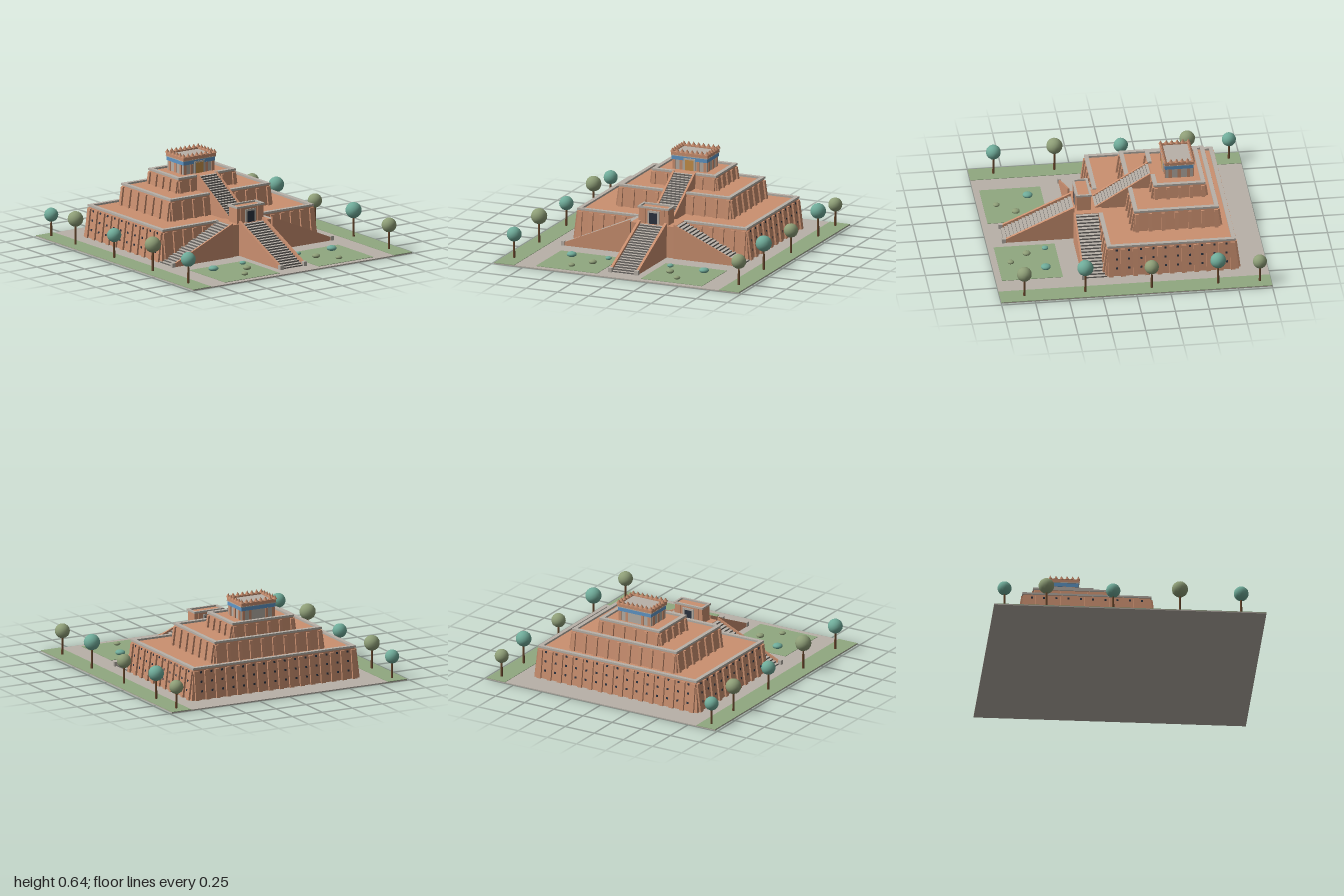
import * as THREE from 'three';

const mat = (name, color) => {
  const m = new THREE.MeshStandardMaterial({ color });
  m.name = name;
  return m;
};

export function createModel() {
  const root = new THREE.Group();
  root.name = 'steppedTemple';
  const brick = mat('brick', 0xcb9070), stone = mat('stone', 0xb8b1a8), lawn = mat('lawn', 0x90a880);
  const teal = mat('tealLeaves', 0x70ac9a), olive = mat('oliveLeaves', 0x8f9f78), bark = mat('bark', 0x6b4a2f);
  const blue = mat('blueGlaze', 0x5f97c8), ochre = mat('ochreDoor', 0xc8924a);
  const dark = mat('darkOpening', 0x2c3340), riser = mat('stairRiser', 0x706c68);

  const add = (parent, name, geo, material, x = 0, y = 0, z = 0) => {
    const m = new THREE.Mesh(geo, material);
    m.name = name;
    m.position.set(x, y, z);
    parent.add(m);
    return m;
  };
  const group = (name, parent = root) => {
    const g = new THREE.Group();
    g.name = name;
    parent.add(g);
    return g;
  };
  // Box standing on y; its top is drawn in by inset and shifted in z by lean
  const box = (parent, name, material, w, h, d, x, y, z, inset = 0, lean = 0) => {
    const geo = new THREE.BoxGeometry(w, h, d).translate(0, h / 2, 0);
    const p = geo.attributes.position;
    for (let i = 0; i < p.count; i++) {
      if (p.getY(i) < h / 2) continue;
      p.setX(i, p.getX(i) - Math.sign(p.getX(i)) * inset);
      p.setZ(i, p.getZ(i) - Math.sign(p.getZ(i)) * inset + lean);
    }
    geo.computeVertexNormals();
    return add(parent, name, geo, material, x, y, z);
  };
  // Rectangular rim, with an optional gap in its front side
  const rim = (parent, name, material, hx, hz, t, h, y, cz, gap = 0) => {
    for (const s of [-1, 1]) {
      box(parent, name, material, t, h, hz * 2, s * (hx - t / 2), y, cz);
      const len = hx - t - gap;
      box(parent, name, material, len, h, t, s * (gap + len / 2), y, cz + hz - t / 2);
    }
    box(parent, name, material, 2 * (hx - t), h, t, 0, y, cz - hz + t / 2);
  };

  // Ground and planting beds
  box(root, 'pavedGround', stone, 1.96, 0.008, 2, 0, 0, 0);
  for (const s of [-1, 1]) {
    box(root, 'treeStrip', lawn, 0.16, 0.004, 2, s * 0.9, 0.007, 0);
    box(root, 'frontLawn', lawn, 0.49, 0.004, 0.45, s * 0.42, 0.007, 0.73);
  }

  // Three battered tiers with buttresses, copings and drain holes
  const tiers = [
    { name: 'lowerTier', hx: 0.7, hz: 0.495, cz: -0.295, y: 0.005, h: 0.23, inset: 0.028, nx: 16, nz: 11, bw: 0.034, gap: 0.175, holes: true },
    { name: 'middleTier', hx: 0.46, hz: 0.325, cz: -0.36, y: 0.233, h: 0.15, inset: 0.02, nx: 10, nz: 7, bw: 0.026, gap: 0.09 },
    { name: 'upperTier', hx: 0.263, hz: 0.197, cz: -0.407, y: 0.38, h: 0.103, inset: 0.013, nx: 6, nz: 5, bw: 0.024, gap: 0.09 },
  ];
  for (const t of tiers) {
    const g = group(t.name);
    box(g, 'tierBody', brick, t.hx * 2, t.h, t.hz * 2, 0, t.y, t.cz, t.inset);
    rim(g, 'tierCoping', stone, t.hx - t.inset + 0.008, t.hz - t.inset + 0.008, 0.03, 0.015, t.y + t.h - 0.001, t.cz, t.gap);
    for (let side = 0; side < 4; side++) {
      const across = side % 2 === 0;
      const half = across ? t.hx : t.hz, out = across ? t.hz : t.hx, n = across ? t.nx : t.nz;
      const wall = group('tierWall', g);
      wall.position.set(0, t.y, t.cz);
      wall.rotation.y = side * Math.PI / 2;
      const reach = half - t.inset - t.bw / 2, step = 2 * reach / (n - 1);
      for (let i = 0; i < n; i++) {
        const x = -reach + i * step;
        if (side === 0 && Math.abs(x) < 0.09) continue;
        box(wall, 'buttress', brick, t.bw, t.h - 0.012, 0.03, x, 0, out, 0, -t.inset);
        if (!t.holes || side === 0 || i === n - 1) continue;
        for (const y of [0.065, 0.135, 0.205]) {
          const hole = add(wall, 'drainHole', new THREE.BoxGeometry(0.015, 0.015, 0.006), dark,
            x + step / 2, y, out - t.inset * y / t.h);
          hole.rotation.x = -Math.atan(t.inset / t.h);
        }
      }
    }
  }

  // Straight flight rising towards its own -z, with sloping side walls
  const stair = (name, n, width, run, rise, sides, thick, h0, h1) => {
    const g = group(name);
    const faces = [riser, riser, stone, riser, riser, riser];
    const d = run / n;
    for (let i = 0; i < n; i++) {
      box(g, 'step', faces, width, rise * (i + 1) / n, d, 0, 0, -(i + 0.5) * d);
    }
    const profile = new THREE.Shape([[0, 0], [run, 0], [run, h1], [0, h0]].map(p => new THREE.Vector2(...p)));
    for (const s of sides) {
      const geo = new THREE.ExtrudeGeometry(profile, { depth: thick, bevelEnabled: false }).rotateY(Math.PI / 2);
      add(g, 'stairWall', geo, brick, s > 0 ? width / 2 : -width / 2 - thick);
    }
    return g;
  };

  stair('centralStair', 20, 0.19, 0.52, 0.237, [-1, 1], 0.02, 0.025, 0.262).position.set(0, 0.006, 0.87);
  stair('upperStair', 20, 0.15, 0.41, 0.255, [-1, 1], 0.016, 0.015, 0.268).position.set(0, 0.233, 0.195);
  for (const s of [-1, 1]) {
    const side = stair('sideStair', 20, 0.165, 0.53, 0.237, [-s], 0.014, 0.025, 0.258);
    side.position.set(s * 0.705, 0.006, 0.268);
    side.rotation.y = s * Math.PI / 2;
    box(root, 'stairPost', stone, 0.03, 0.035, 0.03, s * 0.105, 0.006, 0.87);
    box(root, 'stairPost', stone, 0.026, 0.035, 0.026, s * 0.712, 0.006, 0.358);
  }

  // Landing and gatehouse
  box(root, 'landing', brick, 0.35, 0.24, 0.21, 0, 0.005, 0.25, 0.003);
  const gate = group('gatehouse');
  box(gate, 'gateBody', brick, 0.24, 0.12, 0.105, 0, 0.24, 0.282, 0.003);
  rim(gate, 'gateCoping', stone, 0.125, 0.058, 0.016, 0.014, 0.358, 0.282);
  for (const z of [0.335, 0.23]) {
    const f = z > 0.28 ? 1 : -1;
    box(gate, 'gateFrame', stone, 0.094, 0.1, 0.008, 0, 0.243, z);
    box(gate, 'gateOpening', dark, 0.062, 0.085, 0.008, 0, 0.243, z + f * 0.002);
    for (const s of [-1, 1]) box(gate, 'gatePilaster', brick, 0.022, 0.115, 0.01, s * 0.075, 0.243, z);
  }

  // Shrine on the summit
  const shrine = group('shrine');
  const cz = -0.42, hx = 0.138, hz = 0.102;
  box(shrine, 'shrineBody', stone, hx * 2, 0.12, hz * 2, 0, 0.482, cz);
  box(shrine, 'blueBand', blue, hx * 2 + 0.008, 0.03, hz * 2 + 0.008, 0, 0.555, cz);
  box(shrine, 'shrineLedge', stone, hx * 2 + 0.018, 0.006, hz * 2 + 0.018, 0, 0.584, cz);
  rim(shrine, 'parapet', brick, hx + 0.008, hz + 0.008, 0.012, 0.026, 0.59, cz);
  for (const s of [-1, 1]) {
    for (const x of [-0.125, -0.068, 0.068, 0.125]) box(shrine, 'pilaster', brick, 0.022, 0.073, 0.01, x, 0.482, cz + s * hz);
    for (const z of [-0.068, 0, 0.068]) box(shrine, 'pilaster', brick, 0.01, 0.073, 0.024, s * hx, 0.482, cz + z);
  }
  box(shrine, 'doorFrame', stone, 0.092, 0.092, 0.014, 0, 0.482, cz + hz);
  box(shrine, 'door', ochre, 0.066, 0.08, 0.018, 0, 0.482, cz + hz);
  const spike = new THREE.ConeGeometry(0.019, 0.03, 4).rotateY(Math.PI / 4).scale(1, 1, 1);
  for (const s of [-1, 1]) {
    for (let i = 0; i < 8; i++) add(shrine, 'merlon', spike, brick, -hx + i * hx * 2 / 7, 0.628, cz + s * (hz + 0.001));
    for (let i = 1; i < 5; i++) add(shrine, 'merlon', spike, brick, s * (hx + 0.001), 0.628, cz - hz + i * hz * 2 / 5);
  }

  // Trees along both edges, alternating leaf colours
  const crown = new THREE.IcosahedronGeometry(1, 2);
  [[-0.918, 0.172, 0.052], [-0.61, 0.203, 0.058], [-0.12, 0.182, 0.053], [0.37, 0.21, 0.06], [0.82, 0.19, 0.055]].forEach(([z, y, r], i) => {
    for (const s of [-1, 1]) {
      const tree = group('tree');
      tree.position.set(s * 0.9, 0, z);
      add(tree, 'trunk', new THREE.CylinderGeometry(0.006, 0.009, y, 6), bark, 0, y / 2 + 0.005, 0);
      add(tree, 'crown', crown, (i % 2 === 0) === (s < 0) ? teal : olive, 0, y, 0).scale.setScalar(r);
    }
  });

  // Low shrubs on the front lawns
  for (const [x, z, r, m] of [[0.53, 0.615, 0.037, teal], [0.247, 0.585, 0.024, teal], [0.31, 0.73, 0.03, olive], [0.422, 0.86, 0.025, olive]]) {
    for (const s of [-1, 1]) add(root, 'shrub', crown, m, s * x, 0.014 + r * 0.35, z).scale.set(r, r * 0.55, r);
  }
  return root;
}
